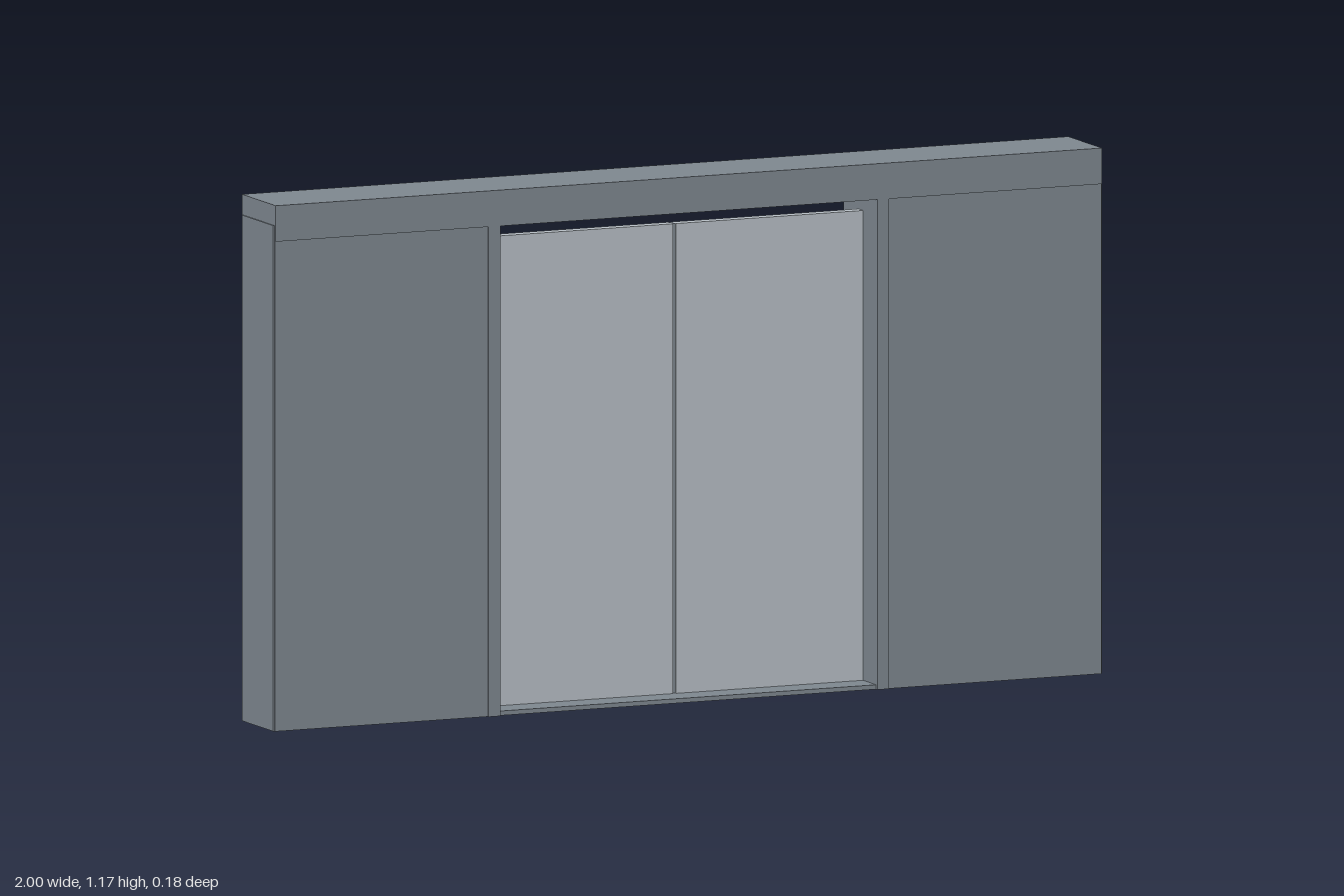
import * as THREE from 'three';

export function createModel() {
  const model = new THREE.Group();
  model.name = 'slidingDoorway';

  const frame = new THREE.MeshStandardMaterial({ color: 0x7f8890 });
  frame.name = 'frame grey';
  const pane = new THREE.MeshStandardMaterial({ color: 0xb9c0c7 });
  pane.name = 'door light grey';

  // Box given by its lower and upper limits on each axis
  function box(parent, name, material, [x0, x1], [y0, y1], [z0, z1]) {
    const mesh = new THREE.Mesh(new THREE.BoxGeometry(x1 - x0, y1 - y0, z1 - z0), material);
    mesh.position.set((x0 + x1) / 2, (y0 + y1) / 2, (z0 + z1) / 2);
    mesh.name = name;
    parent.add(mesh);
  }
  // Same box on the left (side = 1) or mirrored to the right (side = -1)
  const span = (side, a, b) => (side > 0 ? [a, b] : [-b, -a]);

  const top = 1.09;

  // Header beam and floor sill
  box(model, 'header', frame, [-0.997, 0.997], [top, 1.17], [-0.09, 0.09]);
  box(model, 'sill', frame, [-0.455, 0.455], [0, 0.01], [-0.083, 0.083]);

  for (const side of [1, -1]) {
    const word = side > 0 ? 'left' : 'right';

    // Hollow side wall: front and back skins and an end plate lapping the header
    const wall = new THREE.Group();
    wall.name = word + 'Wall';
    model.add(wall);
    box(wall, 'frontSkin', frame, span(side, 0.483, 0.997), [0, top], [0.068, 0.086]);
    box(wall, 'backSkin', frame, span(side, 0.483, 0.997), [0, top], [-0.086, -0.068]);
    box(wall, 'endPlate', frame, span(side, 0.98, 1), [0, 1.125], [-0.083, 0.083]);

    // Jamb beside the opening, standing slightly proud of the wall
    box(model, word + 'Jamb', frame, span(side, 0.455, 0.483), [0, top], [-0.09, 0.09]);

    // Sliding door leaf
    box(model, word + 'Door', pane, span(side, 0.004, 0.455), [0.01, 1.055], [-0.013, 0.013]);
  }

  // Seal between the two leaves
  box(model, 'centreSeal', frame, [-0.004, 0.004], [0.01, 1.055], [-0.009, 0.009]);

  return model;
}
